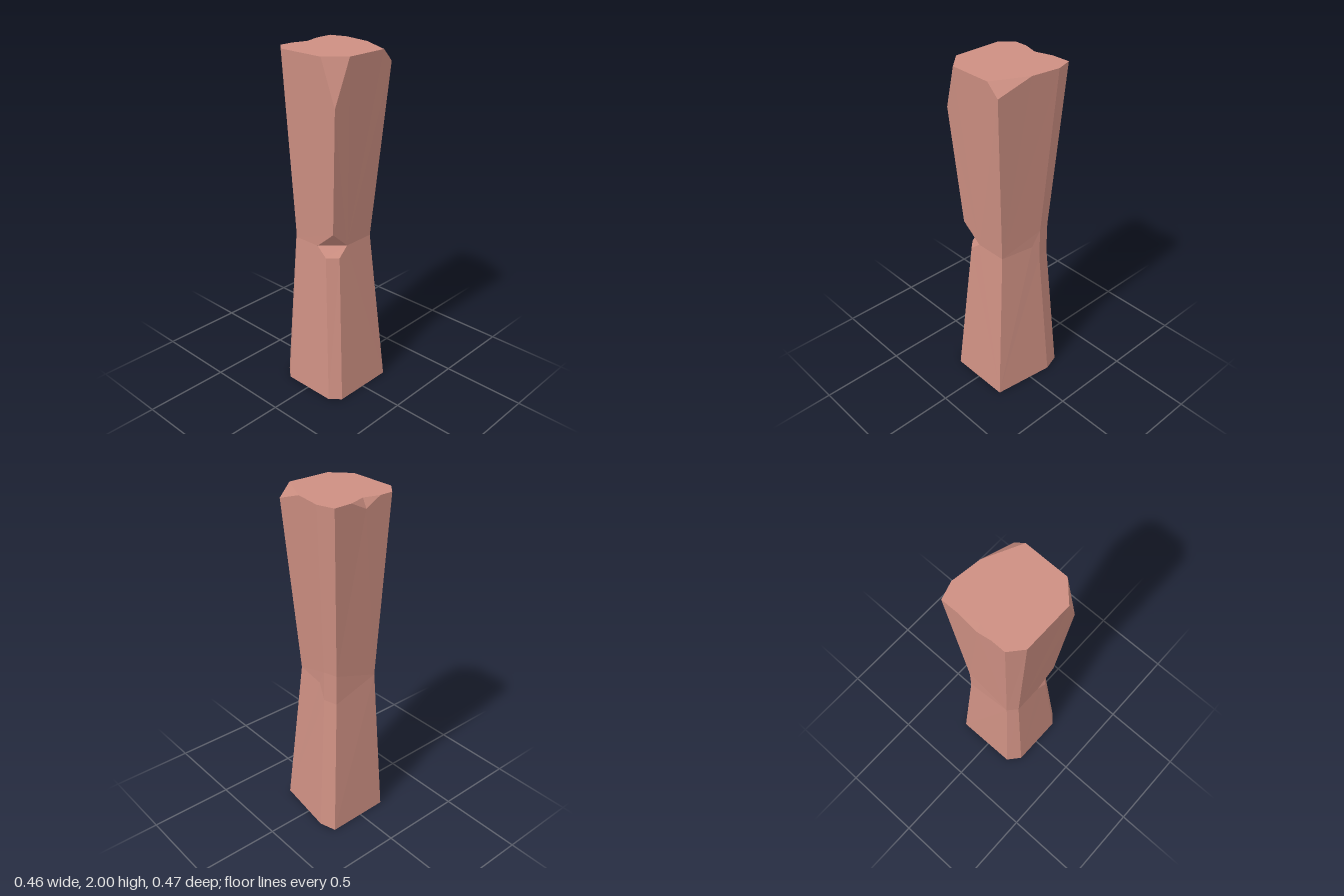
import * as THREE from 'three';

const material = new THREE.MeshStandardMaterial({ color: 0xcd8f82, flatShading: true });

// Builds a faceted mesh from planar outlines, each fanned from its first corner.
function facets(name, ...outlines) {
  const pos = [];
  for (const o of outlines) {
    for (let i = 1; i < o.length - 1; i++) pos.push(...o[0], ...o[i], ...o[i + 1]);
  }
  const geo = new THREE.BufferGeometry();
  geo.setAttribute('position', new THREE.Float32BufferAttribute(pos, 3));
  geo.computeVertexNormals();
  const mesh = new THREE.Mesh(geo, material);
  mesh.name = name;
  return mesh;
}

export function createModel() {
  const W = 0.935, H = 2; // waist and top heights
  const at = (y, ...xz) => xz.map(([x, z]) => [x, y, z]);

  // Left corners are shared by the base and top outlines
  const frontLeft = [[-0.155, 0.233], [-0.228, 0.17]];
  const backLeft = [[-0.232, -0.207], [-0.135, -0.237]];

  // Base, waist and top outlines
  const [bFL, bLF, bLB, bBL, bBR, bRF, bFR] =
    at(0, ...frontLeft, ...backLeft, [0.23, -0.19], [0.228, 0.18], [0.17, 0.233]);
  const [mFL, mLF, mBL, mBR] =
    at(W, [-0.13, 0.175], [-0.18, 0.13], [-0.05, -0.161], [0.15, -0.13]);
  const [tFL, tLF, tLB, tBL] = at(H, ...frontLeft, ...backLeft);

  // Back left chamfer, flat across the waist
  const [lowL, lowB] = at(0.85, [-0.18, -0.15], [-0.1, -0.172]);
  const [highL, highB] = at(1.03, [-0.18, -0.15], [-0.1, -0.172]);

  // Waist notch in the front left-hand corner
  const [nF, nR] = at(W, [0.035, 0.175], [0.15, 0.06]);
  const [ledgeF, ledgeR] = at(0.88, [0.1, 0.178], [0.154, 0.125]);
  const notchTip = [0.157, 1.04, 0.18];

  // Chips in the top rim
  const [fcF, fcR, bcR, bcB] =
    at(H, [0.125, 0.233], [0.228, 0.135], [0.23, -0.118], [0.03, -0.215]);
  const frontTip = [0.208, 1.75, 0.22], backTip = [0.226, 1.93, -0.186];
  const [scF, scIn, scB] = at(H, [-0.228, 0.09], [-0.2, 0], [-0.23, -0.1]);
  const sideTip = [-0.226, 1.95, 0];

  const model = new THREE.Group();
  model.name = 'stonePillar';
  model.add(
    facets('topFace', [scIn, scF, tLF, tFL, fcF, fcR, bcR, bcB, tBL, tLB, scB]),
    facets('bottomFace', [bFL, bLF, bLB, bBL, bBR, bRF, bFR]),
    facets('frontFace',
      [mFL, nF, notchTip, frontTip, fcF, tFL],
      [bFL, bFR, ledgeF, nF, mFL]),
    facets('leftFace',
      [nR, mBR, backTip, bcR, fcR, frontTip, notchTip],
      [bBR, mBR, nR, ledgeR, bRF]),
    facets('backFace',
      [mBR, mBL, highB, tBL, bcB, backTip],
      [bBR, bBL, lowB, mBL, mBR],
      [mBL, lowB, highB]),
    facets('rightFace',
      [sideTip, scB, tLB, highL, mLF, tLF, scF],
      [lowL, mLF, highL],
      [bLB, bLF, mLF, lowL]),
    facets('frontRightChamfer', [bLF, bFL, mFL, mLF], [mLF, mFL, tFL, tLF]),
    facets('backRightChamfer',
      [bBL, bLB, lowL, lowB], [lowB, lowL, highL, highB], [highB, highL, tLB, tBL]),
    facets('frontLeftChamfer', [bFR, bRF, ledgeR, ledgeF]),
    facets('waistNotch', [nF, nR, notchTip], [ledgeF, ledgeR, nR, nF]),
    facets('frontRimChip', [frontTip, fcR, fcF]),
    facets('backRimChip', [backTip, bcB, bcR]),
    facets('sideRimChip', [sideTip, scF, scIn], [sideTip, scIn, scB]),
  );
  return model;
}
